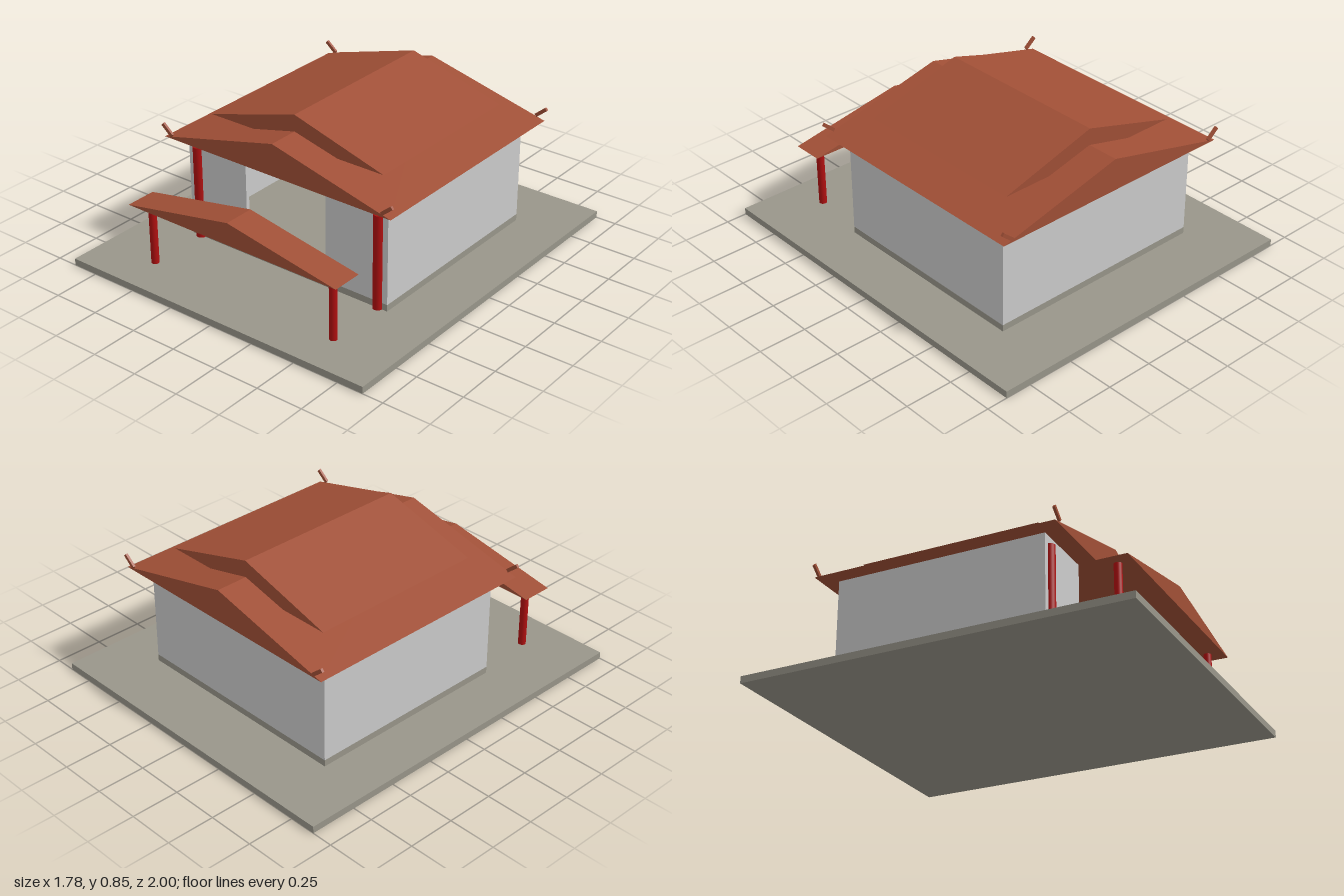
import * as THREE from 'three';

const material = (name, color) => {
  const m = new THREE.MeshStandardMaterial({ color });
  m.name = name;
  return m;
};

export function createModel() {
  const stone = material('stone', 0x99968a);
  const plaster = material('plaster', 0xcccccc);
  const tile = material('roofTile', 0xa04f36);
  const red = material('redPaint', 0xb01010);

  const model = new THREE.Group();
  model.name = 'pavilion';

  const add = (name, geometry, mat, parent = model) => {
    const mesh = new THREE.Mesh(geometry, mat);
    mesh.name = name;
    parent.add(mesh);
    return mesh;
  };

  // Box given by its extents on each axis
  const box = (name, [x0, x1], [y0, y1], [z0, z1], mat, parent) => {
    const g = new THREE.BoxGeometry(x1 - x0, y1 - y0, z1 - z0);
    g.translate((x0 + x1) / 2, (y0 + y1) / 2, (z0 + z1) / 2);
    return add(name, g, mat, parent);
  };

  // Solid gabled roof with its ridge along z
  const gable = (name, halfWidth, eave, ridge, z0, z1) => {
    const shape = new THREE.Shape([
      new THREE.Vector2(-halfWidth, eave),
      new THREE.Vector2(halfWidth, eave),
      new THREE.Vector2(0, ridge),
    ]);
    const g = new THREE.ExtrudeGeometry(shape, { depth: z1 - z0, bevelEnabled: false });
    return add(name, g.translate(0, 0, z0), tile);
  };

  // Ground slab and raised floor
  box('groundSlab', [-0.89, 0.89], [0, 0.036], [-1, 1], stone);
  box('raisedFloor', [-0.61, 0.61], [0.036, 0.071], [-0.665, 0.445], stone);

  // Hall walls, open in the middle of the front
  const walls = new THREE.Group();
  walls.name = 'walls';
  model.add(walls);
  const wallY = [0.071, 0.58];
  const t = 0.02;
  box('backWall', [-0.61, 0.61], wallY, [-0.665, -0.665 + t], plaster, walls);
  box('leftWall', [0.61 - t, 0.61], wallY, [-0.665 + t, 0.445 - t], plaster, walls);
  box('rightWall', [-0.61, -0.61 + t], wallY, [-0.665 + t, 0.445 - t], plaster, walls);
  box('frontLeftWall', [0.245, 0.61], wallY, [0.445 - t, 0.445], plaster, walls);
  box('frontRightWall', [-0.61, -0.245], wallY, [0.445 - t, 0.445], plaster, walls);

  // Two-tier main roof and the gate canopy
  gable('mainRoof', 0.687, 0.588, 0.757, -0.757, 0.533);
  gable('upperRoof', 0.522, 0.694, 0.845, -0.588, 0.367);
  gable('gateCanopy', 0.633, 0.365, 0.482, 0.695, 0.86);

  for (const side of [1, -1]) {
    const label = side > 0 ? 'Left' : 'Right';

    // Columns at the hall front and under the canopy
    for (const [name, z, top, r] of [['hallColumn', 0.445, 0.538, 0.025], ['gateColumn', 0.78, 0.366, 0.02]]) {
      const h = top - 0.036;
      add(name + label, new THREE.CylinderGeometry(r, r, h, 24), red)
        .position.set(side * 0.555, 0.036 + h / 2, z);
    }

    // Upturned tips at the eave corners
    for (const [name, z] of [['frontTip', 0.533], ['backTip', -0.757]]) {
      const tip = add(name + label, new THREE.BoxGeometry(0.076, 0.018, 0.013), tile);
      tip.position.set(side * 0.666, 0.63, z);
      tip.rotation.z = side * 0.7;
    }
  }

  return model;
}
